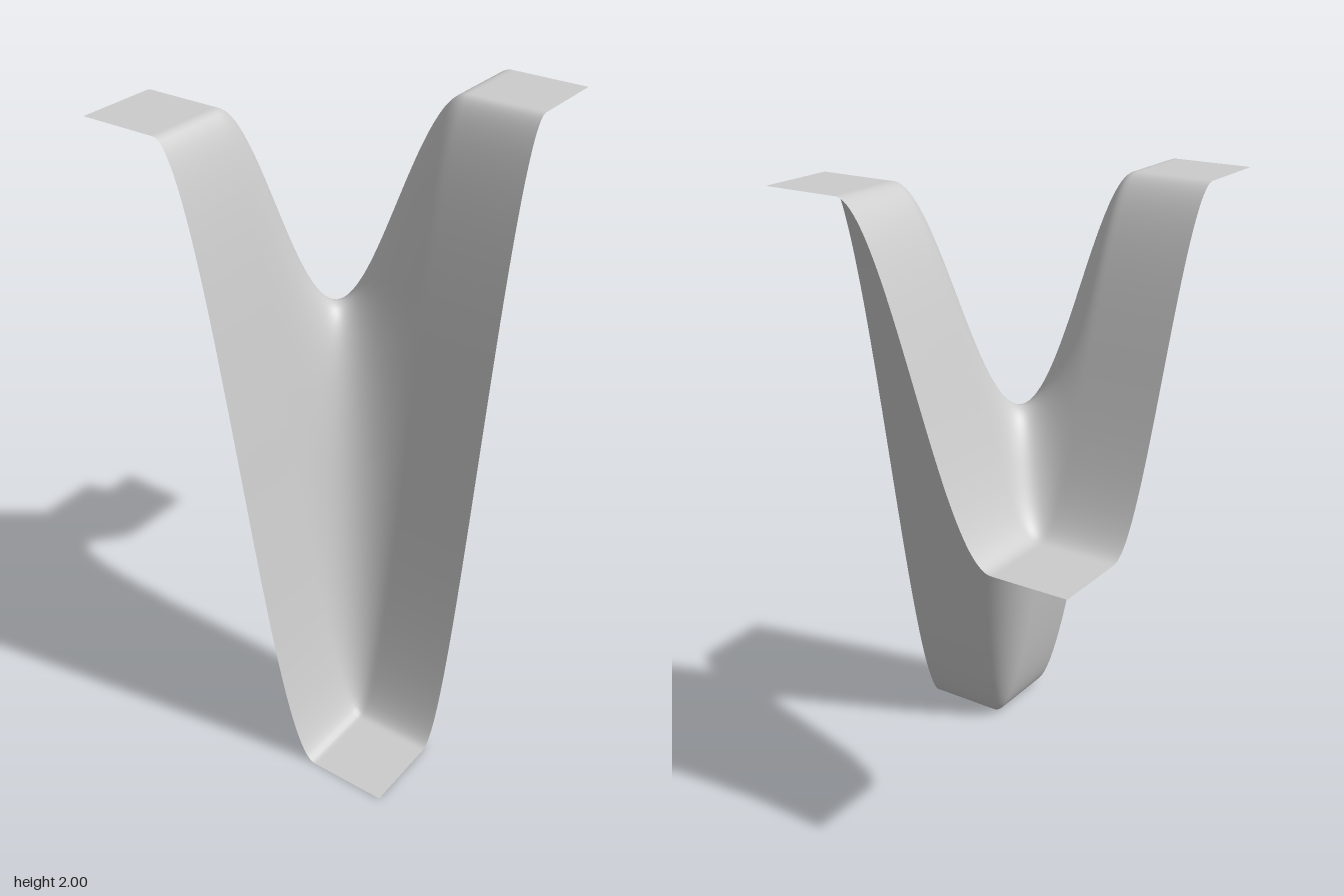
import * as THREE from 'three';

// Corner heights of the sheet: back right, back left, front right, front left
const BACK_RIGHT = 1, BACK_LEFT = 2, FRONT_RIGHT = 2, FRONT_LEFT = 0;
const BLEND = 0.25; // half width of the sloping band between the flat corners

// Saddle height: corner heights blended with an eased step along x and z
function heightAt(x, z) {
  const u = THREE.MathUtils.smoothstep(x, -BLEND, BLEND);
  const v = THREE.MathUtils.smoothstep(z, -BLEND, BLEND);
  const back = THREE.MathUtils.lerp(BACK_RIGHT, BACK_LEFT, u);
  const front = THREE.MathUtils.lerp(FRONT_RIGHT, FRONT_LEFT, u);
  return THREE.MathUtils.lerp(back, front, v);
}

export function createModel() {
  const group = new THREE.Group();
  group.name = 'saddleSurface';

  // Thin square sheet, flat at its four corners, lifted to the saddle height
  const geometry = new THREE.PlaneGeometry(1, 1, 96, 96);
  geometry.rotateX(-Math.PI / 2);
  const position = geometry.attributes.position;
  for (let i = 0; i < position.count; i++) {
    position.setY(i, heightAt(position.getX(i), position.getZ(i)));
  }
  geometry.computeVertexNormals();

  const material = new THREE.MeshStandardMaterial({ color: 0xcccccc, side: THREE.DoubleSide });
  const sheet = new THREE.Mesh(geometry, material);
  sheet.name = 'curvedSheet';
  group.add(sheet);
  return group;
}
